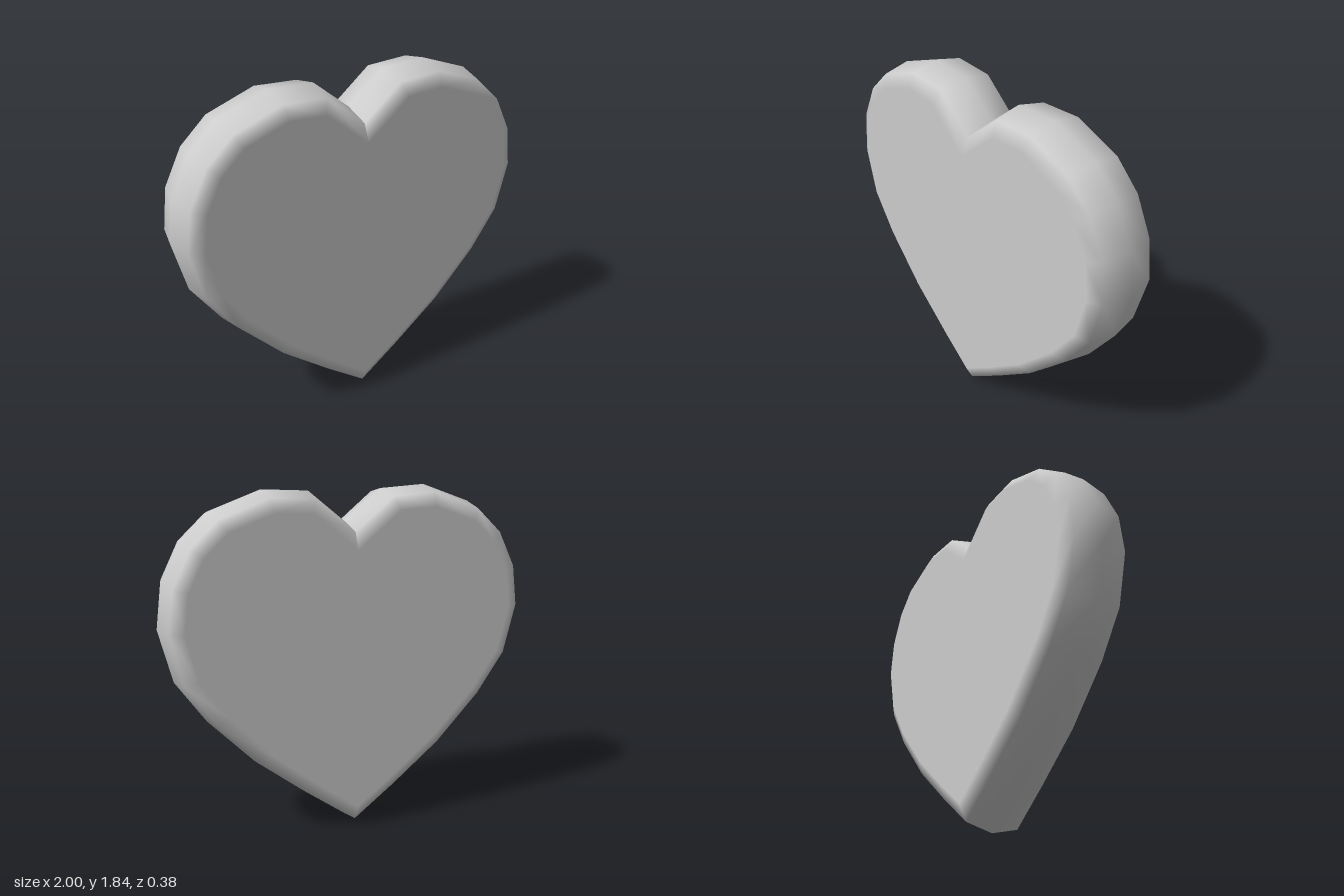
import * as THREE from 'three';

// Right-hand half of the heart outline, from bottom tip to top notch
const OUTLINE = [
  [0, 0], [0.25, 0.185], [0.52, 0.4], [0.77, 0.66], [0.93, 0.89], [1, 1.17],
  [0.97, 1.4], [0.87, 1.6], [0.72, 1.74], [0.45, 1.837], [0.2, 1.823], [0, 1.66],
].map(([x, y]) => new THREE.Vector2(x, y));

// Depth and inset of each ring across the rounded edge
const RINGS = [[0.19, 0.1], [0.15, 0.03], [0, 0], [-0.15, 0.03], [-0.19, 0.1]];

// Outline moved inwards by d, with mitred corners
function insetOutline(d) {
  const mirror = (p) => new THREE.Vector2(-p.x, p.y);
  const n = OUTLINE.length;
  return OUTLINE.map((p, i) => {
    const prev = i > 0 ? OUTLINE[i - 1] : mirror(OUTLINE[1]);
    const next = i < n - 1 ? OUTLINE[i + 1] : mirror(OUTLINE[n - 2]);
    const e1 = p.clone().sub(prev).normalize();
    const e2 = next.clone().sub(p).normalize();
    const n1 = new THREE.Vector2(-e1.y, e1.x);
    const n2 = new THREE.Vector2(-e2.y, e2.x);
    return p.clone().add(n1.clone().add(n2).multiplyScalar(d / (1 + n1.dot(n2))));
  });
}

// One half: rounded rim plus flat front and back; halves meet in a crease
function halfHeart(side) {
  const n = OUTLINE.length;
  const pos = [];
  const index = [];
  const tri = (a, b, c) => (side > 0 ? index.push(a, b, c) : index.push(a, c, b));
  for (const [z, d] of RINGS) {
    for (const p of insetOutline(d)) pos.push(side * p.x, p.y, z);
  }
  const last = (RINGS.length - 1) * n;
  const front = RINGS.length * n;
  const back = front + 1;
  pos.push(0, 0.95, RINGS[0][0], 0, 0.95, -RINGS[0][0]);
  for (let i = 0; i < n - 1; i++) {
    for (let r = 0; r < RINGS.length - 1; r++) {
      const a = r * n + i;
      tri(a, a + n, a + 1);
      tri(a + 1, a + n, a + n + 1);
    }
    tri(front, i, i + 1);
    tri(back, last + i + 1, last + i);
  }
  const geo = new THREE.BufferGeometry();
  geo.setAttribute('position', new THREE.Float32BufferAttribute(pos, 3));
  geo.setIndex(index);
  geo.computeVertexNormals();
  // Keep the two faces flat while the rim blends smoothly into them
  for (let i = 0; i < n; i++) {
    geo.attributes.normal.setXYZ(i, 0, 0, 1);
    geo.attributes.normal.setXYZ(last + i, 0, 0, -1);
  }
  return geo;
}

export function createModel() {
  const group = new THREE.Group();
  group.name = 'heart';
  const grey = new THREE.MeshStandardMaterial({ color: 0xcccccc });
  grey.name = 'light grey';
  for (const [name, side] of [['leftHalf', 1], ['rightHalf', -1]]) {
    const mesh = new THREE.Mesh(halfHeart(side), grey);
    mesh.name = name;
    group.add(mesh);
  }
  return group;
}
